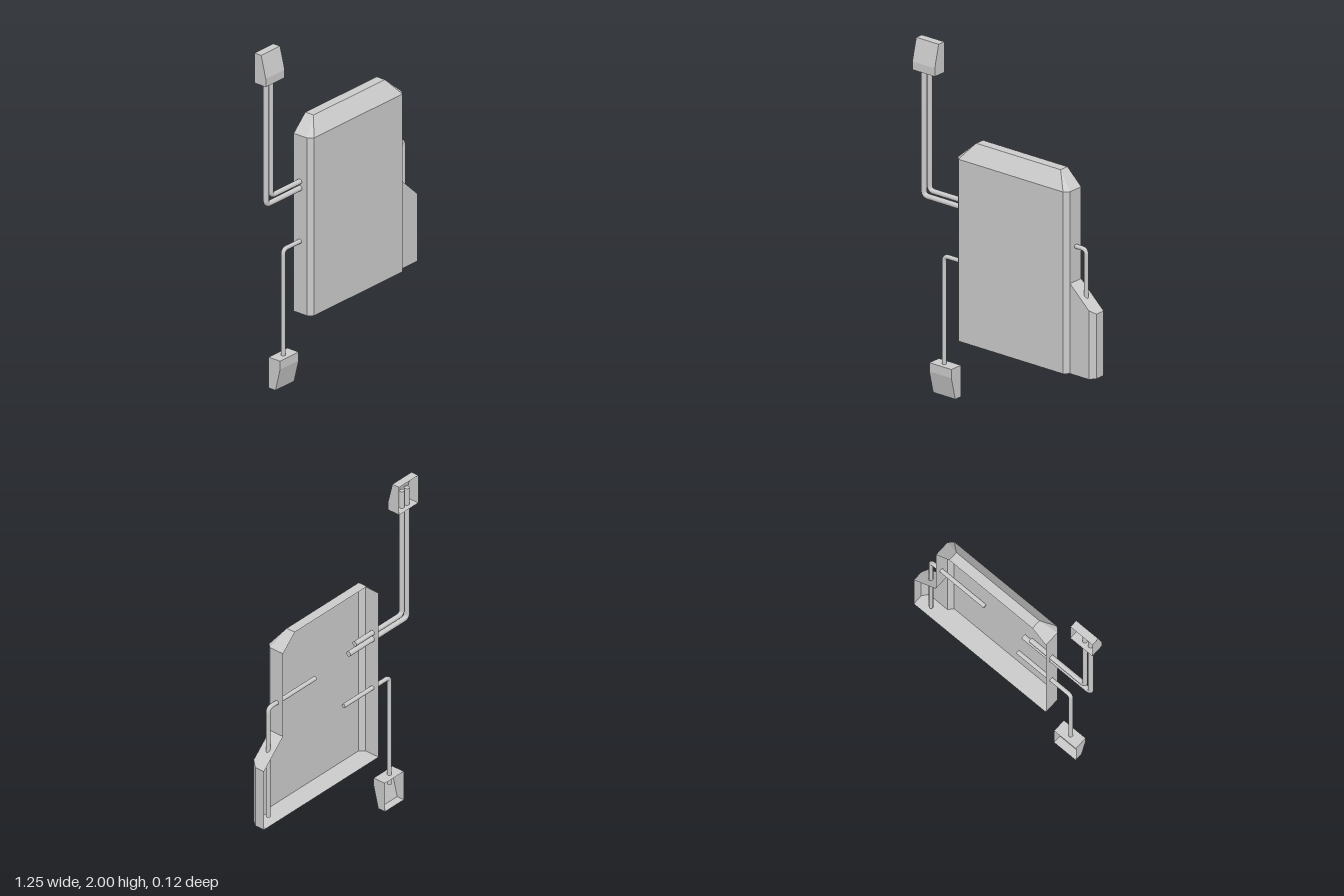
import * as THREE from 'three';

const material = new THREE.MeshStandardMaterial({ color: 0xcccccc, side: THREE.DoubleSide });
const flat = new THREE.MeshStandardMaterial({ color: 0xcccccc, side: THREE.DoubleSide, flatShading: true });
const BACK = -0.06;

// thin open shell from flat polygons (corners counter-clockwise from outside)
function shell(name, faces) {
  const pos = [];
  for (const f of faces)
    for (let i = 1; i < f.length - 1; i++) pos.push(...f[0], ...f[i], ...f[i + 1]);
  const geo = new THREE.BufferGeometry();
  geo.setAttribute('position', new THREE.Float32BufferAttribute(pos, 3));
  geo.computeVertexNormals();
  const mesh = new THREE.Mesh(geo, flat);
  mesh.name = name;
  return mesh;
}

// main panel: bevelled front, sides, sloped top, open back
function mainPanel() {
  const y0 = 0.375, y1 = 1.415, y2 = 1.505, zF = 0.06, zS = 0.033, zT = -0.003;
  const cx = 0.0825, outer = 0.3875, inner = 0.3625, top = 0.2925, podTop = 0.89;
  const faces = [
    [[cx - inner, y0, zF], [cx + inner, y0, zF], [cx + inner, y1, zF], [cx - inner, y1, zF]],
    [[cx - inner, y1, zF], [cx + inner, y1, zF], [cx + top, y2, zT], [cx - top, y2, zT]],
    [[cx - top, y2, zT], [cx + top, y2, zT], [cx + top, y2, BACK], [cx - top, y2, BACK]],
    [[cx - outer, y0, BACK], [cx + outer, y0, BACK], [cx + outer, y0, zS],
      [cx + inner, y0, zF], [cx - inner, y0, zF], [cx - outer, y0, zS]],
  ];
  for (const s of [1, -1]) {
    const o = cx + s * outer, i = cx + s * inner, t = cx + s * top;
    const low = s > 0 ? podTop : y0; // the side pod opens into the panel
    const side = [
      [[i, y0, zF], [o, y0, zS], [o, y1, zS], [i, y1, zF]],
      [[i, y1, zF], [o, y1, zS], [t, y2, zT]],
      [[o, low, zS], [o, low, BACK], [o, y1, BACK], [o, y1, zS]],
      [[o, y1, zS], [o, y1, BACK], [t, y2, BACK], [t, y2, zT]],
    ];
    faces.push(...(s > 0 ? side : side.map((f) => f.reverse())));
  }
  return shell('mainPanel', faces);
}

// side pod with slanted top and chamfered outer edge
function sidePod() {
  const y0 = 0.375, zF = 0.033;
  const outline = [[0.47, 0.89, zF], [0.6, 0.768, zF], [0.625, 0.745, 0], [0.625, 0.745, BACK]];
  const faces = [];
  for (let i = 0; i < 3; i++) {
    const [a, b] = [outline[i], outline[i + 1]];
    faces.push([[a[0], y0, a[2]], [b[0], y0, b[2]], b, a]);
  }
  faces.push([...outline, [0.47, 0.89, BACK]]);
  faces.push([...outline, [0.47, 0.89, BACK]].map((p) => [p[0], y0, p[2]]).reverse());
  return shell('sidePod', faces);
}

// wedge-fronted cap, open at the back; profile is [z, y] from the rear around the front
function endCap(name, x0, x1, profile) {
  const faces = [];
  for (let i = 0; i < profile.length - 1; i++) {
    const [[za, ya], [zb, yb]] = [profile[i], profile[i + 1]];
    faces.push([[x0, ya, za], [x1, ya, za], [x1, yb, zb], [x0, yb, zb]]);
  }
  faces.push(profile.map(([z, y]) => [x0, y, z]));
  faces.push(profile.map(([z, y]) => [x1, y, z]).reverse());
  return shell(name, faces);
}

// bent pipe: runs level from xIn to the elbow, then vertically to yEnd
function pipe(name, xIn, xElbow, y, yEnd, radius, bend = 0.03) {
  const z = -0.017;
  const V = (x, yy) => new THREE.Vector3(x, yy, z);
  const sx = Math.sign(xElbow - xIn), sy = Math.sign(yEnd - y);
  const a = V(xElbow - sx * bend, y), b = V(xElbow, y + sy * bend);
  const path = new THREE.CurvePath();
  path.add(new THREE.LineCurve3(V(xIn, y), a));
  path.add(new THREE.QuadraticBezierCurve3(a, V(xElbow, y), b));
  path.add(new THREE.LineCurve3(b, V(xElbow, yEnd)));
  const group = new THREE.Group();
  group.name = name;
  const tube = new THREE.Mesh(new THREE.TubeGeometry(path, 140, radius, 12, false), material);
  tube.name = name + 'Tube';
  const capGeo = new THREE.CircleGeometry(radius, 12);
  const innerEnd = new THREE.Mesh(capGeo, material);
  innerEnd.position.set(xIn, y, z);
  innerEnd.rotation.y = -sx * Math.PI / 2;
  innerEnd.name = name + 'InnerEnd';
  const outerEnd = new THREE.Mesh(capGeo, material);
  outerEnd.position.set(xElbow, yEnd, z);
  outerEnd.rotation.x = -sy * Math.PI / 2;
  outerEnd.name = name + 'OuterEnd';
  group.add(tube, innerEnd, outerEnd);
  return group;
}

export function createModel() {
  const model = new THREE.Group();
  model.name = 'pipedPanel';
  model.add(
    mainPanel(),
    sidePod(),
    endCap('upperCap', -0.63, -0.475,
      [[-0.057, 1.825], [0.022, 1.825], [0.022, 1.872], [-0.01, 2], [-0.057, 2]]),
    endCap('lowerCap', -0.513, -0.36,
      [[-0.057, 0], [-0.01, 0], [0.022, 0.13], [0.022, 0.18], [-0.057, 0.18]]),
    pipe('upperOuterPipe', -0.11, -0.583, 1.107, 1.93, 0.0155),
    pipe('upperInnerPipe', -0.16, -0.543, 1.146, 1.93, 0.0145),
    pipe('lowerPipe', -0.07, -0.442, 0.797, 0.12, 0.0125),
    pipe('sidePipe', 0.16, 0.541, 1.088, 0.4, 0.0125),
  );
  return model;
}
